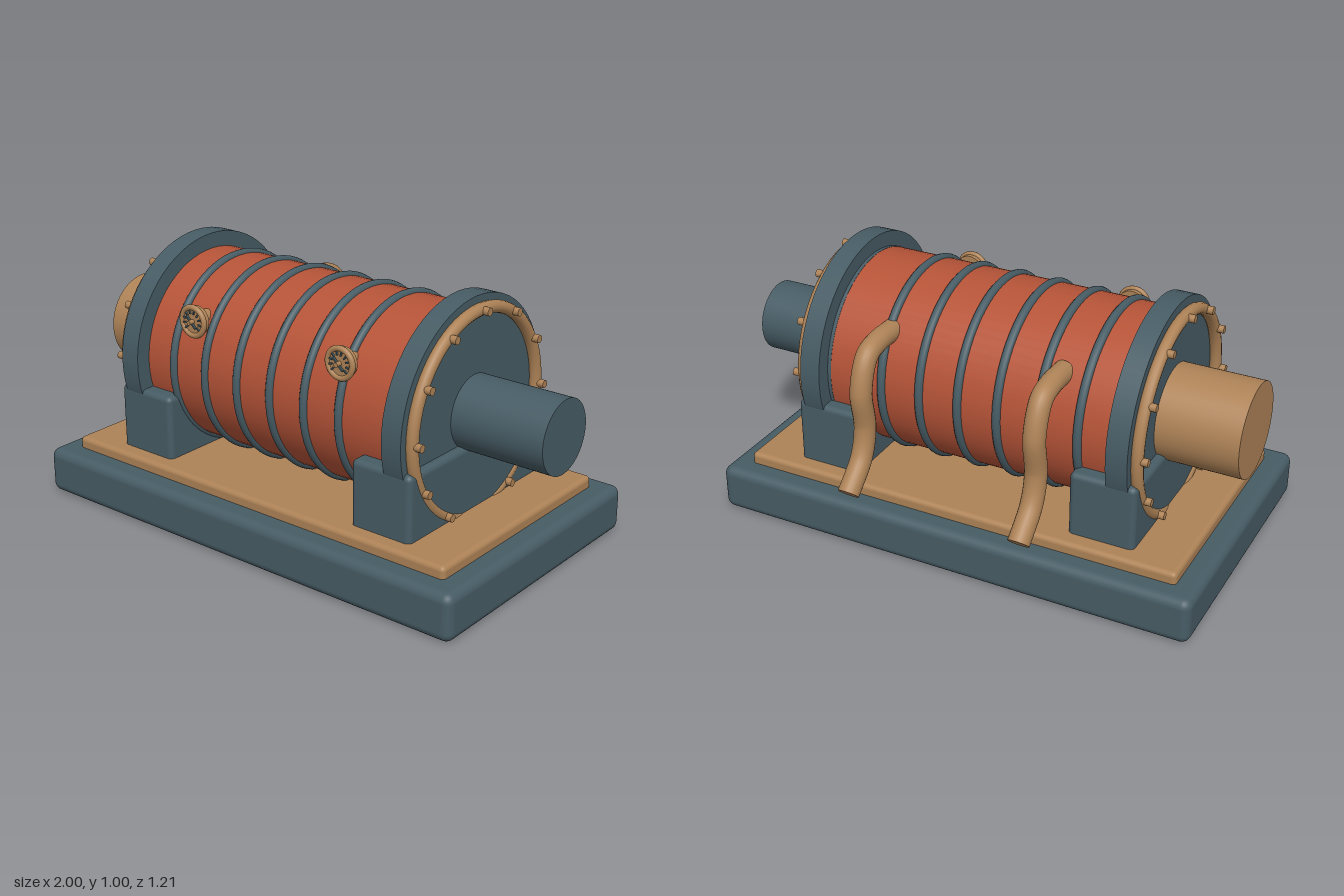
import * as THREE from 'three';
import { RoundedBoxGeometry } from 'three/addons/geometries/RoundedBoxGeometry.js';

const mat = (name, color) => Object.assign(new THREE.MeshStandardMaterial({ color }), { name });

export function createModel() {
  const steel = mat('blue grey steel', 0x475c65);
  const copper = mat('copper', 0xae8357);
  const red = mat('red drum paint', 0xb65438);
  const model = new THREE.Group();
  const AY = 0.576, AZ = 0.046; // drum axis

  const add = (name, geo, material, x, y, z, parent = model) => {
    const m = new THREE.Mesh(geo, material);
    m.name = name;
    m.position.set(x, y, z);
    parent.add(m);
    return m;
  };
  // box given by its limits
  const box = (name, material, x0, x1, y0, y1, z0, z1, r) =>
    add(name, new RoundedBoxGeometry(x1 - x0, y1 - y0, z1 - z0, 4, r), material,
      (x0 + x1) / 2, (y0 + y1) / 2, (z0 + z1) / 2);
  // cylinder lying along x
  const barrel = (name, material, x0, x1, r, y = AY, z = AZ, sides = 64) =>
    add(name, new THREE.CylinderGeometry(r, r, x1 - x0, sides).rotateZ(-Math.PI / 2), material,
      (x0 + x1) / 2, y, z);
  const hoop = (name, material, x, r, tube) =>
    add(name, new THREE.TorusGeometry(r, tube, 12, 72).rotateY(Math.PI / 2), material, x, AY, AZ);

  // base
  box('base', steel, -0.99, 0.935, 0, 0.18, -0.51, 0.604, 0.035);
  box('basePlate', copper, -0.905, 0.848, 0.165, 0.224, -0.427, 0.517, 0.018);

  // drum and hoops
  barrel('drum', red, -0.61, 0.54, 0.365);
  barrel('drumCollar', steel, 0.534, 0.56, 0.366);
  for (let i = 0; i < 6; i++) hoop('drumHoop', steel, -0.473 + i * 0.158, 0.363, 0.017);

  // end flanges, saddles, rims and bolts
  barrel('flange', steel, -0.687, -0.605, 0.425);
  barrel('flange', steel, 0.548, 0.63, 0.425);
  box('saddle', steel, -0.718, -0.463, 0.2, 0.473, -0.362, 0.454, 0.022);
  box('saddle', steel, 0.405, 0.66, 0.2, 0.473, -0.362, 0.454, 0.022);
  for (const [x, side] of [[-0.705, -1], [0.643, 1]]) {
    hoop('endRim', copper, x, 0.378, 0.023);
    for (let i = 0; i < 12; i++) {
      const a = (i * Math.PI) / 6;
      const c = x + side * 0.027;
      barrel('bolt', copper, c - 0.016, c + 0.016, 0.015,
        AY + 0.378 * Math.cos(a), AZ + 0.378 * Math.sin(a), 16);
    }
  }

  // shafts
  barrel('inletShaft', copper, -1, -0.68, 0.18, 0.578, 0.042);
  barrel('outletShaft', steel, 0.62, 1, 0.138, 0.577, AZ);

  // rear pipes and front gauges
  for (const x of [-0.375, 0.316]) {
    const pts = [[0.79, -0.225], [0.79, -0.335], [0.765, -0.408], [0.645, -0.457],
      [0.49, -0.441], [0.38, -0.474], [0.277, -0.574]];
    const path = new THREE.CatmullRomCurve3(pts.map(([y, z]) => new THREE.Vector3(0, y, z)));
    add('pipe', new THREE.TubeGeometry(path, 64, 0.041, 20), copper, x, 0, 0);
    for (const t of [0, 1]) {
      const p = path.getPoint(t), d = path.getTangent(t).multiplyScalar(t ? 1 : -1);
      const cap = add('pipeEnd', new THREE.CircleGeometry(0.041, 20), copper, x, p.y, p.z);
      cap.quaternion.setFromUnitVectors(new THREE.Vector3(0, 0, 1), d);
    }

    const gauge = new THREE.Group();
    gauge.name = 'gauge';
    gauge.position.set(x, 0.785, 0.4);
    model.add(gauge);
    add('gaugeDial', new THREE.CylinderGeometry(0.055, 0.055, 0.03, 32).rotateX(Math.PI / 2),
      copper, 0, 0, -0.012, gauge);
    add('gaugeRim', new THREE.TorusGeometry(0.054, 0.011, 10, 36), copper, 0, 0, 0, gauge);
    add('gaugeStem', new THREE.CylinderGeometry(0.03, 0.03, 0.06, 20).rotateX(Math.PI / 2),
      copper, 0, 0, -0.05, gauge);
    for (let i = 0; i < 10; i++) {
      const a = -0.7 + (i / 9) * (Math.PI + 1.4);
      const tick = add('gaugeTick', new THREE.BoxGeometry(0.013, 0.005, 0.008), steel,
        0.037 * Math.cos(a), 0.037 * Math.sin(a), 0.006, gauge);
      tick.rotation.z = a;
    }
    const needle = add('gaugeNeedle', new THREE.BoxGeometry(0.06, 0.007, 0.008), steel,
      0, 0, 0.012, gauge);
    needle.rotation.z = -Math.PI / 4;
    add('gaugeHub', new THREE.CylinderGeometry(0.009, 0.009, 0.026, 16).rotateX(Math.PI / 2),
      copper, 0, 0, 0.012, gauge);
  }
  return model;
}
